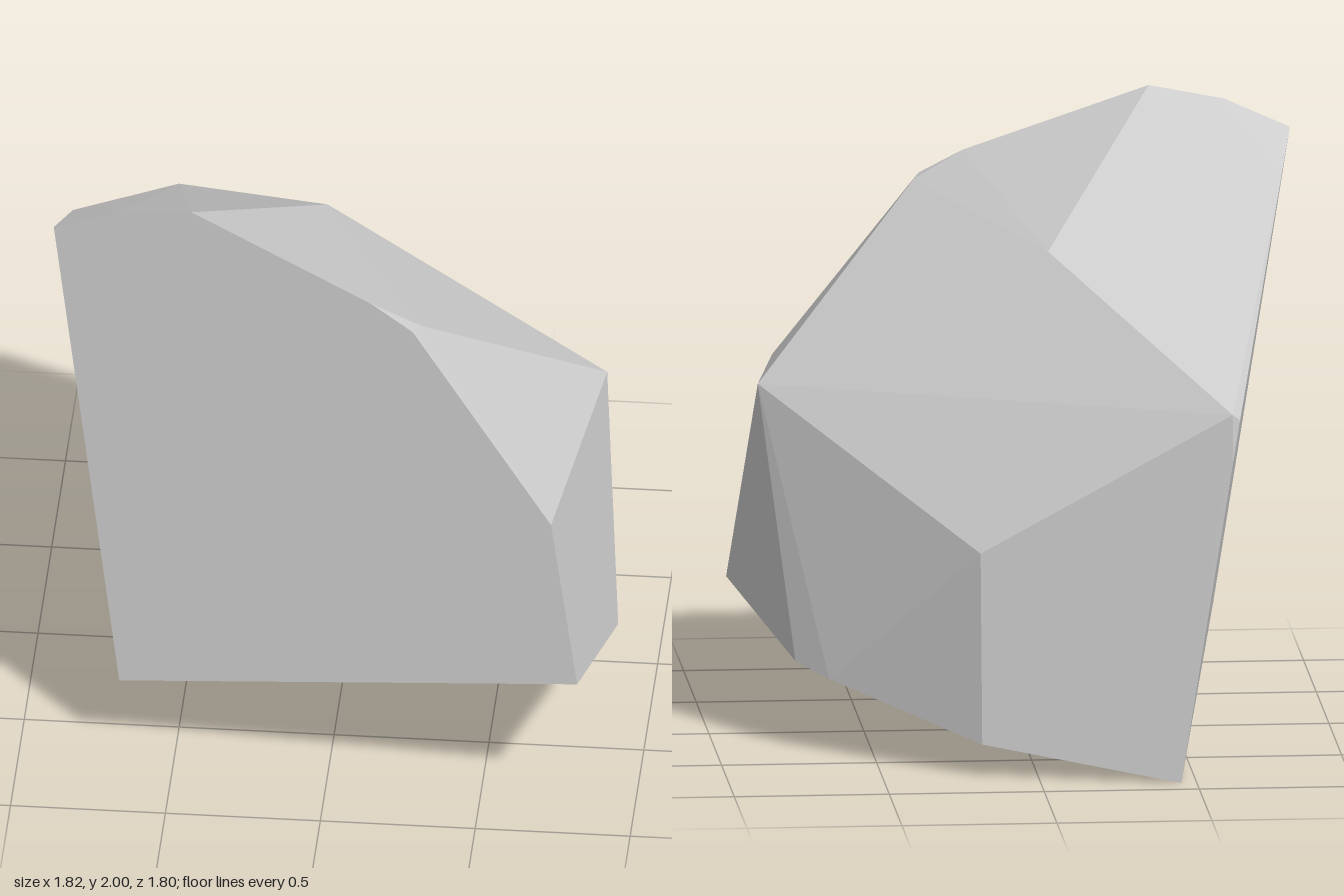
import * as THREE from 'three';
import { ConvexGeometry } from 'three/addons/geometries/ConvexGeometry.js';

const v = (x, y, z) => new THREE.Vector3(x, y, z);

// Corner points that lie on one flat cut, settled exactly onto its plane
function onCut(a, b, c, points) {
  const plane = new THREE.Plane().setFromCoplanarPoints(a, b, c);
  return points.map((p) => plane.projectPoint(p, v(0, 0, 0)));
}

export function createModel() {
  const group = new THREE.Group();
  group.name = 'rockFragment';
  const stone = new THREE.MeshStandardMaterial({ color: 0xcccccc, flatShading: true });
  stone.name = 'stone grey';

  // Corners shared by the three flat cuts
  const peak = v(-0.91, 1.87, 0.44);
  const heel = v(-0.68, 0.27, 0.65);
  const toe = v(0.82, 0.51, 0.9);
  const tail = v(-0.45, 0, -0.9);

  // Outline of the front cut
  const front = onCut(peak, heel, toe, [
    v(-0.7, 1.96, 0.47), v(-0.46, 2, 0.51), v(0.13, 1.77, 0.635),
    v(0.27, 1.69, 0.67), v(0.73, 1.07, 0.82),
  ]);
  // Outline of the underside cut
  const underside = onCut(heel, tail, toe, [
    v(0.91, 0.43, 0.42), v(0.74, 0.28, -0.23), v(0.64, 0.25, -0.35), v(0.18, 0.11, -0.76),
  ]);
  // Outline of the side cut
  const side = onCut(peak, heel, tail, [
    v(-0.87, 1.785, 0.21), v(-0.645, 1.175, -0.84), v(-0.62, 1.04, -0.86),
  ]);
  // Corners of the rough outer surface
  const outer = [
    v(0.29, 1.68, 0.62), v(0.84, 1.14, 0.03), v(-0.08, 1.6, -0.17),
    v(0.18, 0.72, -0.69), v(-0.62, 1.195, -0.85),
  ];

  const rock = new THREE.Mesh(
    new ConvexGeometry([peak, heel, toe, tail, ...front, ...underside, ...side, ...outer]),
    stone,
  );
  rock.name = 'rock';
  group.add(rock);
  return group;
}
